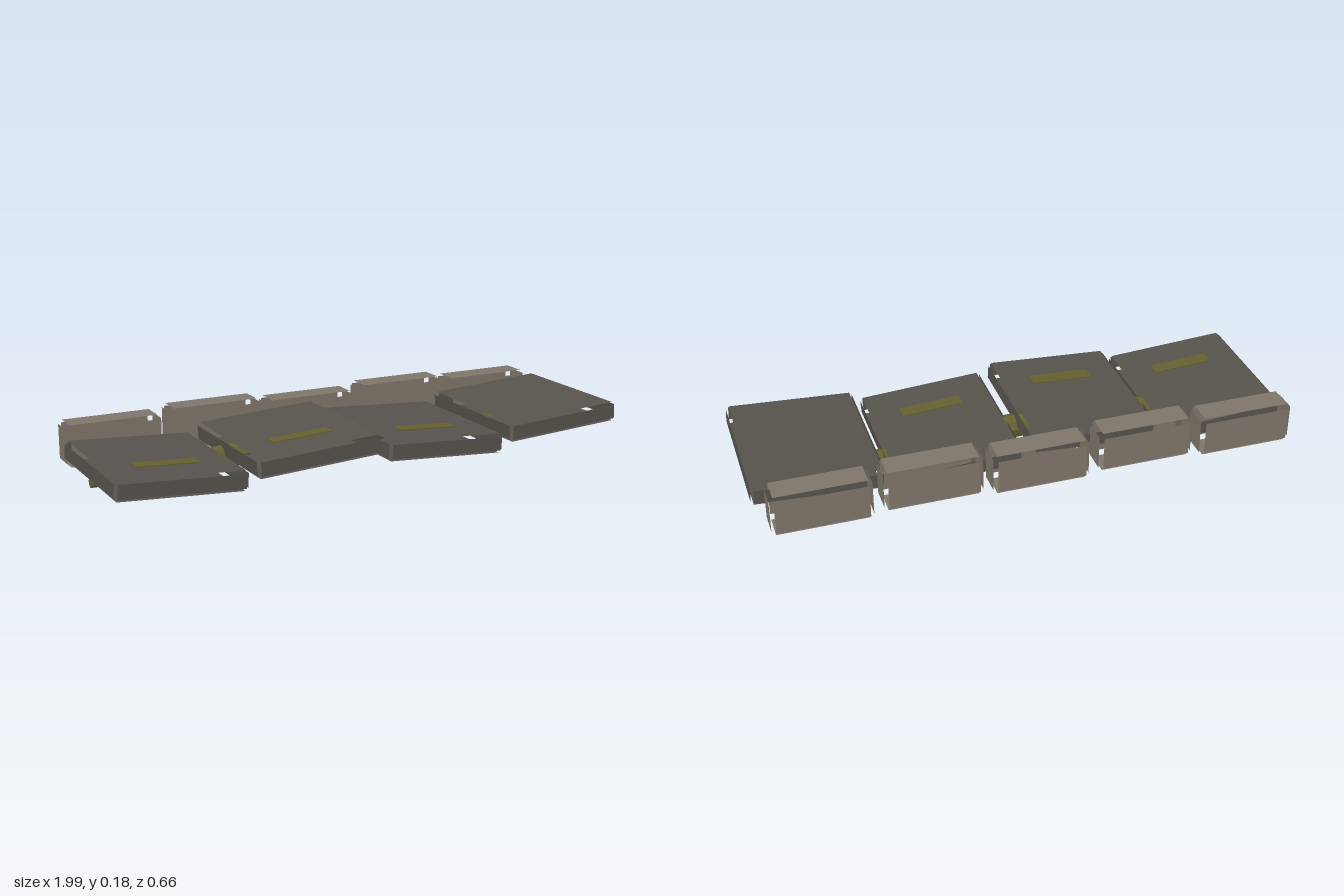
import * as THREE from 'three';

const mat = (name, color) => {
  const m = new THREE.MeshStandardMaterial({ color, side: THREE.DoubleSide });
  m.name = name;
  return m;
};

// Six loose panels around a block, each pulled in from the block's edges
function panelBlock(name, w, h, d, inset, material) {
  const block = new THREE.Group();
  block.name = name;
  const add = (part, pw, ph, pos, rot) => {
    const mesh = new THREE.Mesh(new THREE.PlaneGeometry(pw - 2 * inset, ph - 2 * inset), material);
    mesh.name = part;
    mesh.position.set(...pos);
    mesh.rotation.set(...rot);
    block.add(mesh);
  };
  const q = Math.PI / 2;
  for (const s of [1, -1]) {
    add(s > 0 ? 'topPanel' : 'bottomPanel', w, d, [0, s * h / 2, 0], [-s * q, 0, 0]);
    add(s > 0 ? 'frontPanel' : 'backPanel', w, h, [0, 0, s * d / 2], [0, s > 0 ? 0 : Math.PI, 0]);
    add(s > 0 ? 'leftPanel' : 'rightPanel', d, h, [s * w / 2, 0, 0], [0, s * q, 0]);
  }
  return block;
}

// Tapered rod swept along x, closed at both ends
function taperedRod(points, radii, steps, sides) {
  const curve = new THREE.CatmullRomCurve3(points.map(p => new THREE.Vector3(...p)));
  const pos = [], index = [];
  for (let i = 0; i <= steps; i++) {
    const t = i / steps, c = curve.getPoint(t);
    const f = t * (radii.length - 1), k = Math.min(Math.floor(f), radii.length - 2);
    const r = THREE.MathUtils.lerp(radii[k], radii[k + 1], f - k);
    for (let j = 0; j < sides; j++) {
      const a = j / sides * Math.PI * 2;
      pos.push(c.x, c.y + r * Math.cos(a), c.z + r * Math.sin(a));
      if (i < steps) {
        const a0 = i * sides + j, a1 = i * sides + (j + 1) % sides;
        index.push(a0, a1, a0 + sides, a1, a1 + sides, a0 + sides);
      }
    }
  }
  for (let j = 1; j < sides - 1; j++) {
    const e = steps * sides;
    index.push(0, j + 1, j, e, e + j, e + j + 1);
  }
  const g = new THREE.BufferGeometry();
  g.setAttribute('position', new THREE.Float32BufferAttribute(pos, 3));
  g.setIndex(index);
  const flat = g.toNonIndexed();
  flat.computeVertexNormals();
  return flat;
}

export function createModel() {
  const model = new THREE.Group();
  model.name = 'slabWalkway';
  const slate = mat('dark slate', 0x57534d);
  const stone = mat('warm stone', 0x80766a);
  const olive = mat('olive', 0x65602f);

  // Four walking slabs, tilted alternately, three with an inlaid strip
  [-0.76, -0.256, 0.25, 0.755].forEach((x, i) => {
    const raised = i % 2 === 1;
    const slab = panelBlock('slab', 0.472, 0.072, 0.556, 0.01, slate);
    slab.position.set(x, raised ? 0.102 : 0.069, 0.053);
    slab.rotation.z = raised ? 0.06 : -0.06;
    if (i < 3) {
      const strip = new THREE.Mesh(new THREE.BoxGeometry(0.228, 0.006, 0.055), olive);
      strip.name = 'inlayStrip';
      strip.position.set(0, 0.037, 0.11);
      slab.add(strip);
    }
    model.add(slab);
  });

  // Five kerb blocks along the back, stepping up and down
  for (let i = 0; i < 5; i++) {
    const kerb = panelBlock('kerbBlock', 0.356, 0.155, 0.12, 0.014, stone);
    kerb.position.set(-0.805 + i * 0.393, i % 2 ? 0.106 : 0.091, -0.274);
    model.add(kerb);
  }

  // Curved root running beneath the slabs
  const root = new THREE.Mesh(taperedRod(
    [[-0.97, 0.018, -0.01], [-0.5, 0.05, 0.002], [0, 0.07, -0.005], [0.5, 0.046, -0.02], [0.93, 0.033, -0.025]],
    [0.018, 0.043, 0.045, 0.03, 0.012], 20, 9), olive);
  root.name = 'root';
  model.add(root);

  return model;
}
